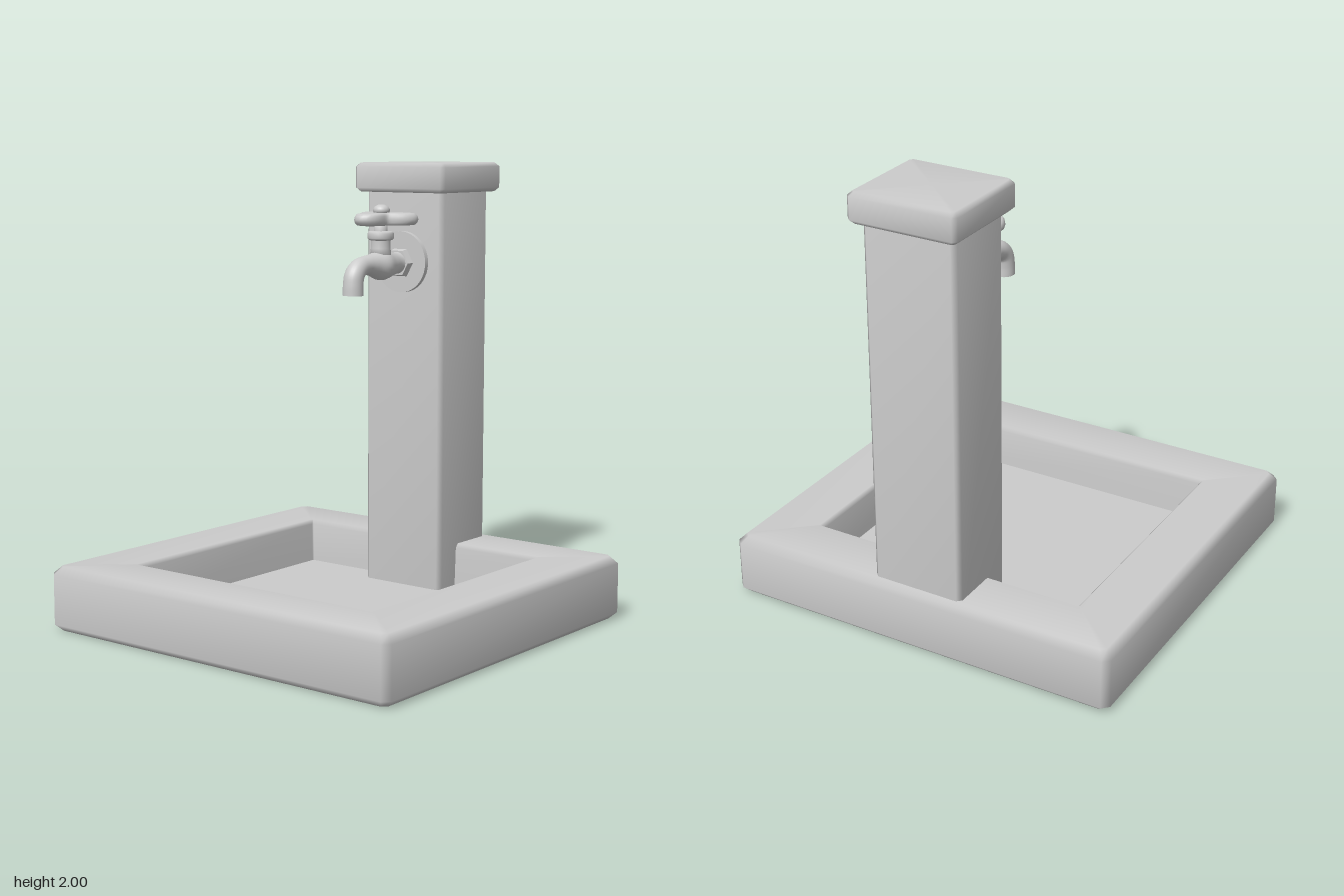
import * as THREE from 'three';

const material = new THREE.MeshStandardMaterial({ color: 0xcccccc });

// Skins a stack of equal-length point rings and closes both ends with fans.
function loft(rings) {
  const n = rings[0].length, pos = [], idx = [];
  rings.flat().forEach(p => pos.push(p.x, p.y, p.z));
  for (let r = 0; r < rings.length - 1; r++) {
    for (let i = 0; i < n; i++) {
      const a = r * n + i, b = r * n + (i + 1) % n;
      idx.push(a, a + n, b, b, a + n, b + n);
    }
  }
  [rings[0], rings[rings.length - 1]].forEach((ring, end) => {
    const c = ring.reduce((s, p) => s.add(p), new THREE.Vector3()).divideScalar(n);
    const centre = pos.length / 3, start = end ? (rings.length - 1) * n : 0;
    pos.push(c.x, c.y, c.z);
    for (let i = 0; i < n; i++) {
      const a = start + i, b = start + (i + 1) % n;
      idx.push(centre, end ? b : a, end ? a : b);
    }
  });
  const g = new THREE.BufferGeometry();
  g.setAttribute('position', new THREE.Float32BufferAttribute(pos, 3));
  g.setIndex(idx);
  g.computeVertexNormals();
  return g;
}

// Rectangle with cut corners at height y.
function rectRing(hx, hz, y, c) {
  return [[hx, -hz + c], [hx, hz - c], [hx - c, hz], [-hx + c, hz],
    [-hx, hz - c], [-hx, -hz + c], [-hx + c, -hz], [hx - c, -hz]]
    .map(([x, z]) => new THREE.Vector3(x, y, z));
}

// Three-lobed outline at height y.
function lobeRing(scale, y, n = 60) {
  return Array.from({ length: n }, (_, i) => {
    const a = i / n * Math.PI * 2;
    const r = (0.118 + 0.045 * Math.cos(3 * (a - Math.PI / 2))) * scale;
    return new THREE.Vector3(Math.cos(a) * r, y, Math.sin(a) * r);
  });
}

// Round tube of changing radius along a path of [z, y, radius] in the x = 0 plane.
function taperedTube(points, steps = 48, sides = 24) {
  const path = new THREE.CatmullRomCurve3(points.map(([z, y]) => new THREE.Vector3(0, y, z)));
  const radii = new THREE.SplineCurve(points.map(([, , r], i) => new THREE.Vector2(i, r)));
  const xAxis = new THREE.Vector3(1, 0, 0);
  const rings = [];
  for (let s = 0; s <= steps; s++) {
    const p = path.getPoint(s / steps), r = radii.getPoint(s / steps).y;
    const v = new THREE.Vector3().crossVectors(xAxis, path.getTangent(s / steps));
    rings.push(Array.from({ length: sides }, (_, i) => {
      const a = i / sides * Math.PI * 2;
      return p.clone().addScaledVector(xAxis, Math.cos(a) * r).addScaledVector(v, Math.sin(a) * r);
    }));
  }
  rings.push(rings[steps]); // repeated ring keeps the mouth edge sharp
  return loft(rings);
}

export function createModel() {
  const model = new THREE.Group();
  model.name = 'standpipe';
  const add = (name, geometry, x = 0, y = 0, z = 0, parent = model) => {
    const m = new THREE.Mesh(geometry, material);
    m.name = name;
    m.position.set(x, y, z);
    parent.add(m);
    return m;
  };

  // Square tray with a sunken basin
  const floor = rectRing(0.62, 0.58, 0.09, 0.005);
  add('basin', loft([
    rectRing(0.88, 0.83, 0, 0.02),
    rectRing(0.912, 0.862, 0.03, 0.03),
    rectRing(0.912, 0.862, 0.25, 0.03),
    rectRing(0.88, 0.83, 0.283, 0.02),
    rectRing(0.645, 0.602, 0.283, 0.005),
    rectRing(0.63, 0.588, 0.265, 0.005),
    floor, floor,
  ]));

  // Post and its cap
  add('post', loft([rectRing(0.21, 0.18, 0.08, 0.02), rectRing(0.21, 0.18, 1.9, 0.02)]), 0, 0, -0.64);
  add('postCap', loft([
    rectRing(0.227, 0.21, 1.87, 0.012),
    rectRing(0.246, 0.228, 1.888, 0.018),
    rectRing(0.246, 0.228, 1.982, 0.018),
    rectRing(0.227, 0.21, 2, 0.012),
  ]), 0, 0, -0.643);

  // Tap: wall plate, hex nut, body with spout
  const tap = new THREE.Group();
  tap.name = 'tap';
  model.add(tap);
  add('wallPlate', new THREE.CylinderGeometry(0.136, 0.136, 0.03, 40), 0, 1.563, -0.453, tap)
    .rotation.x = Math.PI / 2;
  const nut = new THREE.CylinderGeometry(0.062, 0.07, 0.03, 6).toNonIndexed();
  nut.computeVertexNormals();
  nut.rotateY(Math.PI / 6 * 3);
  add('hexNut', nut, 0, 1.56, -0.425, tap).rotation.x = Math.PI / 2;
  add('spout', taperedTube([
    [-0.44, 1.56, 0.056], [-0.4, 1.56, 0.047], [-0.35, 1.557, 0.055], [-0.29, 1.556, 0.066],
    [-0.23, 1.56, 0.05], [-0.18, 1.561, 0.041], [-0.135, 1.55, 0.042], [-0.106, 1.52, 0.044],
    [-0.098, 1.48, 0.045], [-0.097, 1.435, 0.046],
  ]), 0, 0, 0, tap);

  // Valve stem with collar
  const stem = [[0, 1.58], [0.05, 1.58], [0.043, 1.63], [0.043, 1.665], [0.043, 1.665], [0.053, 1.668],
    [0.058, 1.675], [0.058, 1.695], [0.053, 1.704], [0.03, 1.706], [0.03, 1.706], [0.028, 1.74], [0, 1.74]];
  add('valveStem', new THREE.LatheGeometry(stem.map(([r, y]) => new THREE.Vector2(r, y)), 28),
    0, 0, -0.293, tap);

  // Three-lobed handle with rounded rim and centre knob
  add('handle', loft([
    lobeRing(0.75, 1.731), lobeRing(0.9, 1.734), lobeRing(0.97, 1.744), lobeRing(1, 1.758),
    lobeRing(0.97, 1.773), lobeRing(0.9, 1.783), lobeRing(0.75, 1.786),
  ]), 0, 0, -0.298, tap);
  add('handleKnob', new THREE.SphereGeometry(0.037, 24, 16), 0, 1.796, -0.298, tap)
    .scale.y = 0.7;

  return model;
}
